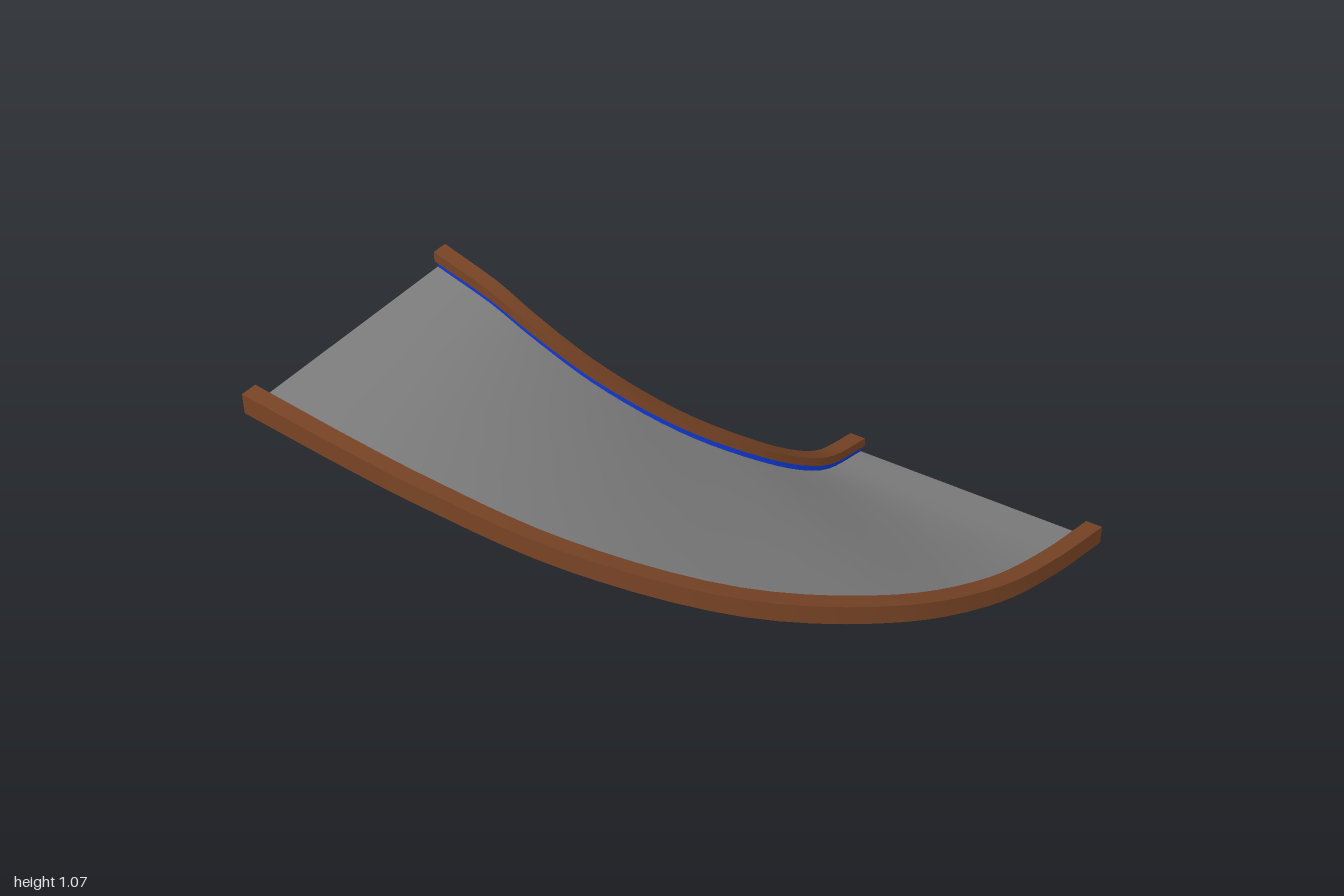
import * as THREE from 'three';
import { toCreasedNormals } from 'three/addons/utils/BufferGeometryUtils.js';

const STEPS = 40;
const RAIL_W = 0.06, RAIL_H = 0.07, LIP_H = 0.035, WALL_W = 0.03;

// Edge stations of the descending bend: [height, outer x, outer z, inner x, inner z]
const stations = [
  [1.00, -1.00, 1.00, -1.00, 0.00],
  [0.92, -0.70, 0.965, -0.80, -0.01],
  [0.83, -0.40, 0.91, -0.67, -0.03],
  [0.67, 0.00, 0.765, -0.48, -0.10],
  [0.45, 0.44, 0.44, -0.27, -0.27],
  [0.26, 0.765, 0.00, -0.10, -0.48],
  [0.12, 0.91, -0.40, -0.03, -0.67],
  [0.05, 0.965, -0.70, -0.01, -0.80],
  [0.00, 1.00, -1.00, 0.00, -1.00],
];
const outer = new THREE.CatmullRomCurve3(stations.map(s => new THREE.Vector3(s[1], s[0], s[2])));
const inner = new THREE.CatmullRomCurve3(stations.map(s => new THREE.Vector3(s[3], s[0], s[4])));

// Sweep a section of [across, height] points, across running 0 (inner edge) to 1 (outer edge)
function sweep(section) {
  const pos = [], index = [], n = section.length;
  for (let i = 0; i <= STEPS; i++) {
    const a = inner.getPoint(i / STEPS), b = outer.getPoint(i / STEPS);
    const y = Math.max(0, (a.y + b.y) / 2);
    for (const [u, h] of section) {
      const p = a.clone().lerp(b, u);
      pos.push(p.x, y + h, p.z);
    }
  }
  for (let i = 0; i < STEPS; i++) {
    for (let j = 0; j < n; j++) {
      const a = i * n + j, b = i * n + (j + 1) % n;
      index.push(a, a + n, b, b, a + n, b + n);
    }
  }
  // End caps
  const end = STEPS * n;
  const contour = section.map(([u, h]) => new THREE.Vector2(u, h));
  for (const [a, b, c] of THREE.ShapeUtils.triangulateShape(contour, [])) {
    index.push(a, b, c, end + c, end + b, end + a);
  }
  const geo = new THREE.BufferGeometry();
  geo.setAttribute('position', new THREE.Float32BufferAttribute(pos, 3));
  geo.setIndex(index);
  return toCreasedNormals(geo, Math.PI / 5);
}

const rect = (u0, u1, h0, h1) => [[u0, h0], [u1, h0], [u1, h1], [u0, h1]];
const mirror = section => section.map(([u, h]) => [1 - u, h]).reverse();

export function createModel() {
  const group = new THREE.Group();
  const brown = new THREE.MeshStandardMaterial({ color: 0x7a4526 });
  const blue = new THREE.MeshStandardMaterial({ color: 0x1038d0 });
  const grey = new THREE.MeshStandardMaterial({ color: 0xcccccc });
  grey.color.set(0x808080);

  const add = (name, section, material) => {
    const mesh = new THREE.Mesh(sweep(section), material);
    mesh.name = name;
    group.add(mesh);
  };

  // Road surface on a thin base
  add('base', rect(0, 1, 0, 0.003), brown);
  add('roadSurface', rect(WALL_W, 1 - WALL_W, 0.003, 0.006), grey);

  // Rails with an overhanging lip, and a blue strip tucked below it
  const rail = [
    [0, 0], [WALL_W, 0], [WALL_W, RAIL_H - LIP_H],
    [RAIL_W, RAIL_H - LIP_H], [RAIL_W, RAIL_H], [0, RAIL_H],
  ];
  const strip = rect(WALL_W, WALL_W + 0.015, 0.006, RAIL_H - LIP_H);
  add('innerRail', rail, brown);
  add('outerRail', mirror(rail), brown);
  add('innerStrip', strip, blue);
  add('outerStrip', mirror(strip), blue);
  return group;
}
